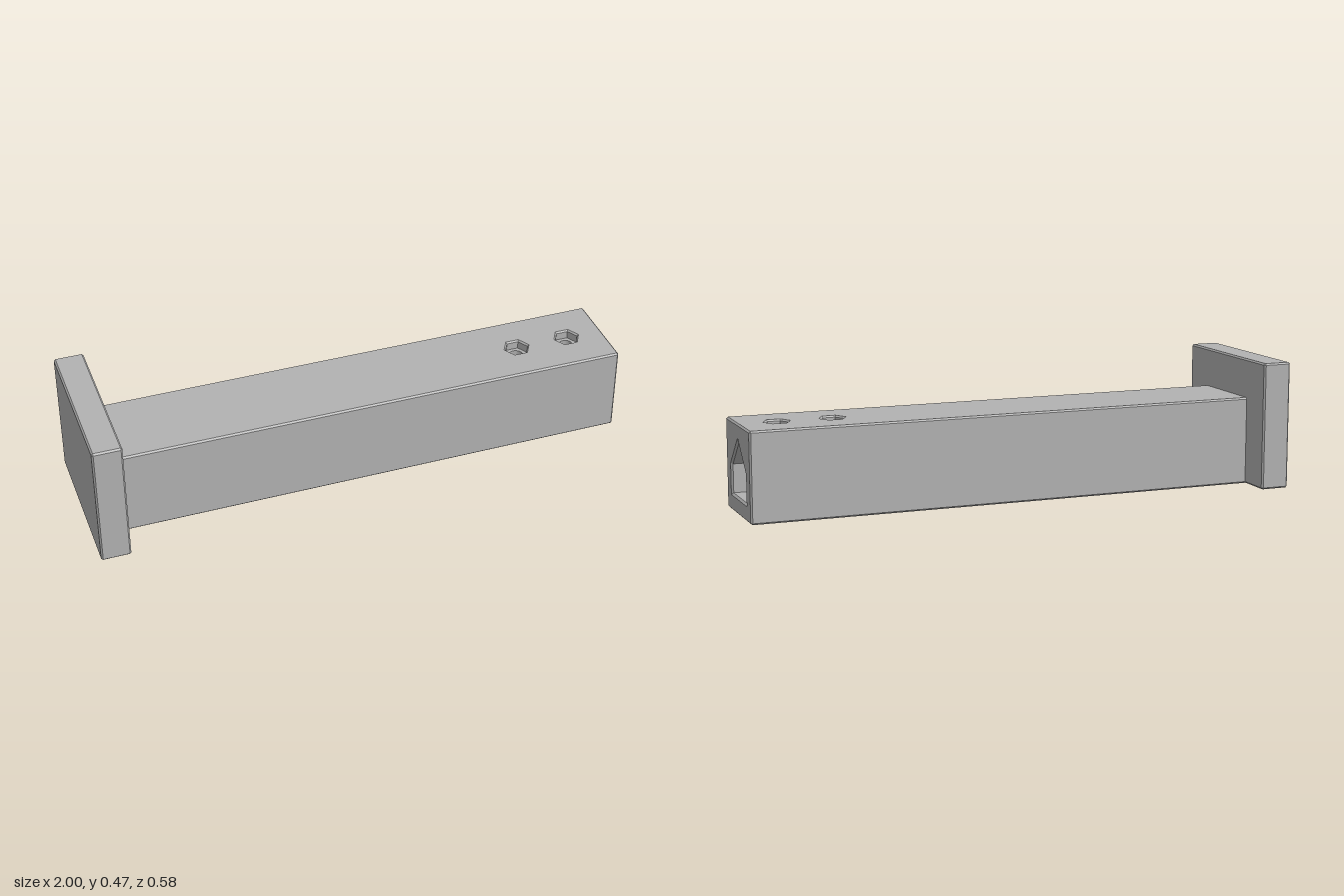
import * as THREE from 'three';
import { toCreasedNormals } from 'three/addons/utils/BufferGeometryUtils.js';

const START = -0.893, END = 1, C = 0.006;        // beam ends, edge chamfer
const BEAM = { w: 0.16, h: 0.324 }, PLATE = { w: 0.29, h: 0.468 };
const HOLES = [0.66, 0.86];                      // bolt positions along x
const BOLT_R = 0.026, POCKET_R = 0.044, POCKET_Y = 0.29;
const BORE = { w: 0.1, floor: 0.062, eave: 0.165, apex: 0.265 };
const MOUTH = { w: 0.107, floor: 0.055, eave: 0.168, apex: 0.275 };

export function createModel() {
  const group = new THREE.Group();
  const grey = new THREE.MeshStandardMaterial({ color: 0xb2b2b2, side: THREE.DoubleSide });

  const add = (name, geometry) => {
    const mesh = new THREE.Mesh(toCreasedNormals(geometry, 0.5), grey);
    mesh.name = name;
    group.add(mesh);
  };

  // Walls between successive closed loops; skip lists edges left open in the first row
  const loft = (name, loops, skip = []) => {
    const pos = [];
    const tri = (a, b, c) => {
      if (new THREE.Triangle(a, b, c).getArea() > 1e-9) for (const p of [a, b, c]) pos.push(p.x, p.y, p.z);
    };
    for (let i = 0; i < loops.length - 1; i++) {
      const A = loops[i], B = loops[i + 1], n = A.length;
      for (let j = 0; j < n; j++) {
        if (i === 0 && skip.includes(j)) continue;
        const k = (j + 1) % n;
        tri(A[j], A[k], B[j]);
        tri(A[k], B[k], B[j]);
      }
    }
    const g = new THREE.BufferGeometry();
    g.setAttribute('position', new THREE.Float32BufferAttribute(pos, 3));
    add(name, g);
  };

  // Flat outline with holes, placed in space by a rule
  const sheet = (name, outline, holes, place) => {
    const toV2 = (pts) => pts.map(([u, v]) => new THREE.Vector2(u, v));
    const shape = new THREE.Shape(toV2(outline));
    shape.holes = holes.map((h) => new THREE.Path(toV2(h)));
    const g = new THREE.ShapeGeometry(shape);
    const p = g.attributes.position;
    for (let i = 0; i < p.count; i++) p.setXYZ(i, ...place(p.getX(i), p.getY(i)));
    add(name, g);
  };

  const rect = (u0, u1, v0, v1) => [[u0, v0], [u1, v0], [u1, v1], [u0, v1]];
  const ngon = (x, r, n) => Array.from({ length: n }, (_, i) => {
    const a = (i / n) * Math.PI * 2;
    return [x + r * Math.cos(a), r * Math.sin(a)];
  });
  const up = (y) => (u, v) => [u, y, -v];
  const down = (y) => (u, v) => [u, y, v];
  const atX = (x, pts) => pts.map(([z, y]) => new THREE.Vector3(x, y, z));
  const atY = (y, pts) => pts.map(([x, z]) => new THREE.Vector3(x, typeof y === 'function' ? y(z) : y, z));

  // Chamfered rectangle section, and the same pulled in for end chamfers
  const section = ({ w, h }) => [
    [-w + C, h], [w - C, h], [w, h - C], [w, C],
    [w - C, 0], [-w + C, 0], [-w, C], [-w, h - C]];
  const inset = ({ w, h }) => section({ w, h }).map(([z, y]) => [
    THREE.MathUtils.clamp(z, -w + C, w - C), THREE.MathUtils.clamp(y, C, h - C)]);
  const house = ({ w, floor, eave, apex }) => [[w, eave], [0, apex], [-w, eave], [-w, floor], [w, floor]];

  // End plate
  const pRect = rect(-PLATE.w + C, PLATE.w - C, C, PLATE.h - C);
  loft('endPlateSides', [
    atX(-1, inset(PLATE)), atX(-1 + C, section(PLATE)),
    atX(START - C, section(PLATE)), atX(START, inset(PLATE))]);
  sheet('endPlateOuterFace', pRect, [], (u, v) => [-1, v, u]);
  sheet('endPlateInnerFace', pRect, [], (u, v) => [START, v, -u]);

  // Beam skin
  const flat = rect(START - C, END - C, -BEAM.w + C, BEAM.w - C);
  loft('beamSides', [
    atX(START - C, section(BEAM)), atX(END - C, section(BEAM)), atX(END, inset(BEAM))], [0, 4]);
  sheet('beamTop', flat, HOLES.map((x) => ngon(x, POCKET_R + C, 6)), up(BEAM.h));
  sheet('beamBottom', flat, HOLES.map((x) => ngon(x, POCKET_R + C, 32)), down(0));
  sheet('beamEnd', rect(-BEAM.w + C, BEAM.w - C, C, BEAM.h - C), [house(MOUTH)], (u, v) => [END, v, -u]);

  // Gabled bore with a flared mouth
  const mouthX = END - 0.007;
  const roofY = (z) => BORE.apex - Math.abs(z);
  loft('boreWalls', [
    atX(START, house(BORE)), atX(mouthX, house(BORE)), atX(END, house(MOUTH))], [0, 1, 3]);
  sheet('boreFloor', rect(START, mouthX, -BORE.w, BORE.w),
    HOLES.map((x) => ngon(x, POCKET_R, 32)), up(BORE.floor));
  for (const s of [-1, 1]) {
    const outline = [[START, 0]];
    for (const x of HOLES) {
      for (let i = 0; i <= 16; i++) {
        const a = Math.PI * (1 - i / 16);
        outline.push([x + BOLT_R * Math.cos(a), s * BOLT_R * Math.sin(a)]);
      }
    }
    outline.push([mouthX, 0], [mouthX, s * BORE.w], [START, s * BORE.w]);
    sheet('boreRoof', outline, [], (u, v) => [u, roofY(v), v]);
  }

  // Hexagonal nut pockets above, round bolt holes below
  for (const x of HOLES) {
    const hex = ngon(x, POCKET_R, 6), bolt = ngon(x, BOLT_R, 32), access = ngon(x, POCKET_R, 32);
    loft('nutPocket', [
      atY(POCKET_Y, hex), atY(BEAM.h - C, hex), atY(BEAM.h, ngon(x, POCKET_R + C, 6))]);
    sheet('nutPocketFloor', hex, [bolt], up(POCKET_Y));
    loft('boltHole', [atY(roofY, bolt), atY(POCKET_Y, bolt)]);
    loft('accessHole', [
      atY(0, ngon(x, POCKET_R + C, 32)), atY(C, access), atY(BORE.floor, access)]);
  }
  return group;
}
